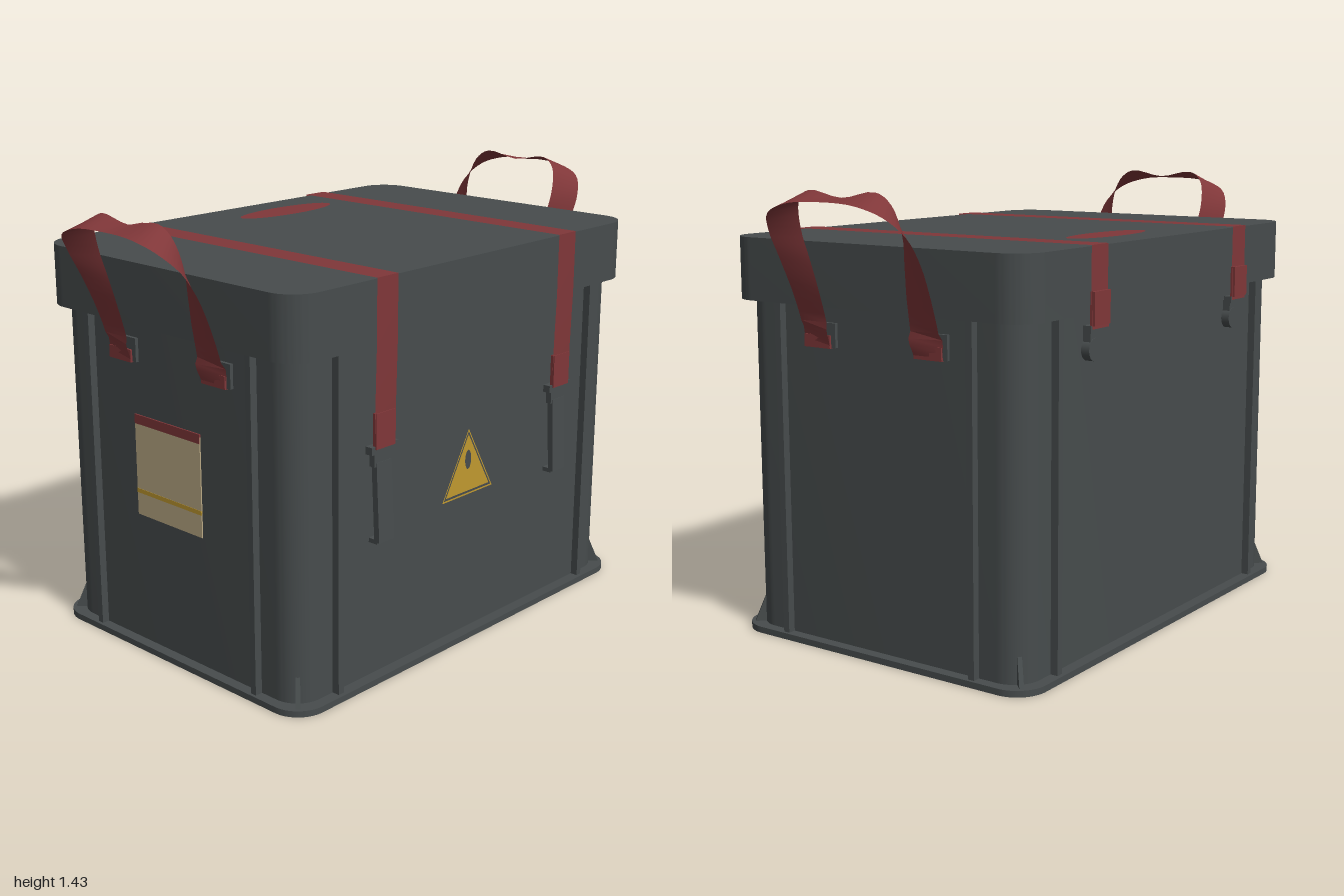
import * as THREE from 'three';
import { toCreasedNormals } from 'three/addons/utils/BufferGeometryUtils.js';

const mat = (name, color, side = THREE.FrontSide) => {
  const m = new THREE.MeshStandardMaterial({ color, side });
  m.name = name;
  return m;
};

export function createModel() {
  const shell = mat('charcoal plastic', 0x474c4d);
  const red = mat('red webbing', 0x803739, THREE.DoubleSide);
  const yellow = mat('warning yellow', 0xc09930);
  const paper = mat('label paper', 0xbcab86);

  const root = new THREE.Group();
  const box = new THREE.Group();
  box.name = 'storageBox';
  box.rotation.y = -0.0165; // the box sits very slightly turned
  root.add(box);

  const add = (name, geo, material, parent = box) => {
    const m = new THREE.Mesh(geo, material);
    m.name = name;
    parent.add(m);
    return m;
  };
  const block = (name, w, h, d, x, y, z, material = shell, parent = box) => {
    const m = add(name, new THREE.BoxGeometry(w, h, d), material, parent);
    m.position.set(x, y, z);
    return m;
  };

  // Upright slab with rounded corners in plan
  const slab = (hx, hz, r, y0, y1) => {
    const s = new THREE.Shape();
    s.absarc(hx - r, hz - r, r, 0, Math.PI / 2);
    s.absarc(-hx + r, hz - r, r, Math.PI / 2, Math.PI);
    s.absarc(-hx + r, -hz + r, r, Math.PI, Math.PI * 1.5);
    s.absarc(hx - r, -hz + r, r, Math.PI * 1.5, Math.PI * 2);
    const g = new THREE.ExtrudeGeometry(s, { depth: y1 - y0, bevelEnabled: false, curveSegments: 10 });
    g.rotateX(-Math.PI / 2).translate(0, y0, 0);
    return toCreasedNormals(g, 0.6);
  };

  // Flat ribbon through centre points, with a half-width vector at each
  const ribbon = (centres, halves) => {
    const pos = [], idx = [];
    centres.forEach((c, i) => {
      pos.push(...c.clone().add(halves[i]).toArray(), ...c.clone().sub(halves[i]).toArray());
      if (i) idx.push(2 * i - 2, 2 * i - 1, 2 * i, 2 * i - 1, 2 * i + 1, 2 * i);
    });
    const g = new THREE.BufferGeometry();
    g.setAttribute('position', new THREE.Float32BufferAttribute(pos, 3));
    g.setIndex(idx);
    return toCreasedNormals(g, 0.7);
  };
  const V = (x, y, z) => new THREE.Vector3(x, y, z);

  // Main shells
  add('baseFlange', slab(0.805, 0.568, 0.1, 0, 0.02), shell);
  add('body', slab(0.77, 0.53, 0.09, 0.02, 1.09), shell);
  add('lid', slab(0.805, 0.565, 0.1, 1.075, 1.27), shell);

  // Wall ribs and corner gussets
  const gussetShape = new THREE.Shape([
    new THREE.Vector2(-0.04, 0), new THREE.Vector2(0.035, 0), new THREE.Vector2(-0.005, 0.095), new THREE.Vector2(-0.04, 0.095),
  ]);
  const gusset = new THREE.ExtrudeGeometry(gussetShape, { depth: 0.014, bevelEnabled: false }).translate(0, 0, -0.007);
  for (const sx of [-1, 1]) {
    for (const sz of [-1, 1]) {
      block('longWallRib', 0.022, 1.06, 0.04, sx * 0.612, 0.55, sz * 0.535);
      block('endWallRib', 0.04, 1.06, 0.022, sx * 0.775, 0.55, sz * 0.366);
      const g = add('cornerGusset', gusset, shell);
      g.position.set(sx * 0.744, 0.02, sz * 0.504);
      g.rotation.y = Math.atan2(-sz, sx);
    }
  }

  // Lid straps with front latches and rear hooks
  for (const x of [-0.435, 0.435]) {
    const strap = new THREE.Group();
    strap.name = 'lidStrap';
    strap.position.x = x;
    box.add(strap);
    const path = [[0.76, 0.562], [0.87, 0.566], [1.075, 0.571], [1.274, 0.571],
      [1.274, -0.571], [1.14, -0.571], [1.03, -0.575]].map(([y, z]) => V(0, y, z));
    add('webbing', ribbon(path, path.map((p, i) => V(i < 1 ? 0.04 : 0.045, 0, 0))), red, strap);
    block('frontFold', 0.084, 0.11, 0.014, 0, 0.815, 0.562, red, strap);
    block('rearFold', 0.086, 0.1, 0.016, 0, 1.09, -0.574, red, strap);

    // front latch
    block('latchBar', 0.115, 0.024, 0.026, 0, 0.757, 0.553, shell, strap);
    block('latchNeck', 0.08, 0.05, 0.02, 0, 0.728, 0.55, shell, strap);
    const lever = block('latchLever', 0.066, 0.25, 0.02, 0, 0.59, 0.558, shell, strap);
    lever.rotation.x = -0.05;
    block('latchTip', 0.066, 0.014, 0.034, 0, 0.467, 0.549, shell, strap);

    // rear hook
    block('hookBar', 0.1, 0.022, 0.026, 0, 1.03, -0.56, shell, strap);
    block('hookNeck', 0.05, 0.07, 0.026, 0, 0.99, -0.543, shell, strap);
    const hook = add('hookEnd', new THREE.CylinderGeometry(0.035, 0.035, 0.03, 16), shell, strap);
    hook.rotation.x = Math.PI / 2;
    hook.position.set(0, 0.965, -0.543);
  }

  // Twisted carrying handles: flat on the wall, edge turned outward at the top
  const leg = [ // x, y, z, half-width vector
    [0.785, 0.95, 0.212, 0, 0, 0.051], [0.8, 1.03, 0.212, 0, 0, 0.051], [0.83, 1.13, 0.217, 0.006, 0, 0.049],
    [0.862, 1.22, 0.224, 0.018, 0.004, 0.045], [0.9, 1.31, 0.225, 0.032, -0.002, 0.034],
    [0.935, 1.378, 0.195, 0.044, -0.014, 0.02], [0.948, 1.41, 0.13, 0.047, -0.018, 0.006],
  ];
  const full = [...leg, [0.95, 1.405, 0, 0.047, -0.004, 0],
    ...leg.slice().reverse().map(([x, y, z, a, b, c]) => [x, y, -z, a, b, -c])];
  const centreCurve = new THREE.CatmullRomCurve3(full.map((p) => V(p[0], p[1], p[2])));
  // on the far leg the half-width turns the other way, keeping the same side outward
  const halfCurve = new THREE.CatmullRomCurve3(full.map((p) => V(p[3], p[4], p[5])));
  const steps = [...Array(57).keys()].map((i) => i / 56);
  const handleGeo = ribbon(steps.map((t) => centreCurve.getPoint(t)), steps.map((t) => halfCurve.getPoint(t)));
  for (const turn of [0, Math.PI]) {
    const handle = new THREE.Group();
    handle.name = turn ? 'rightHandle' : 'leftHandle';
    handle.rotation.y = turn;
    box.add(handle);
    add('handleWebbing', handleGeo, red, handle);
    for (const s of [-1, 1]) {
      block('handleMount', 0.016, 0.075, 0.135, 0.773, 0.988, s * 0.212, shell, handle);
      block('handleEnd', 0.012, 0.04, 0.102, 0.782, 0.968, s * 0.212, red, handle);
    }
  }

  // Warning triangle: thin outline, solid centre with a cut-out mark
  const tri = (k) => [[-0.125, -0.09], [0.125, -0.09], [0, 0.13]].map(([x, y]) => new THREE.Vector2(x * k, y * k));
  const outline = new THREE.Shape(tri(1));
  outline.holes.push(new THREE.Path(tri(0.94)));
  const centre = new THREE.Shape(tri(0.86));
  const mark = new THREE.Path();
  mark.absellipse(0, 0.028, 0.015, 0.032, 0, Math.PI * 2, true);
  const dot = new THREE.Path();
  dot.absellipse(0, -0.035, 0.008, 0.008, 0, Math.PI * 2, true);
  centre.holes.push(mark);
  for (const [name, s] of [['warningOutline', outline], ['warningCentre', centre]]) {
    add(name, new THREE.ShapeGeometry(s, 16), yellow).position.set(-0.003, 0.575, 0.533);
  }

  // Oval patch on the lid
  const oval = add('lidPatch', new THREE.CircleGeometry(1, 40), red);
  oval.scale.set(0.21, 0.064, 1);
  oval.rotation.x = -Math.PI / 2;
  oval.position.set(0.108, 1.273, -0.39);

  // Paper label on the end wall
  block('paperLabel', 0.006, 0.32, 0.3, -0.771, 0.61, -0.02, paper);
  block('labelHeading', 0.008, 0.03, 0.3, -0.771, 0.765, -0.02, red);
  block('labelStripe', 0.008, 0.014, 0.3, -0.771, 0.53, -0.02, yellow);

  return root;
}
